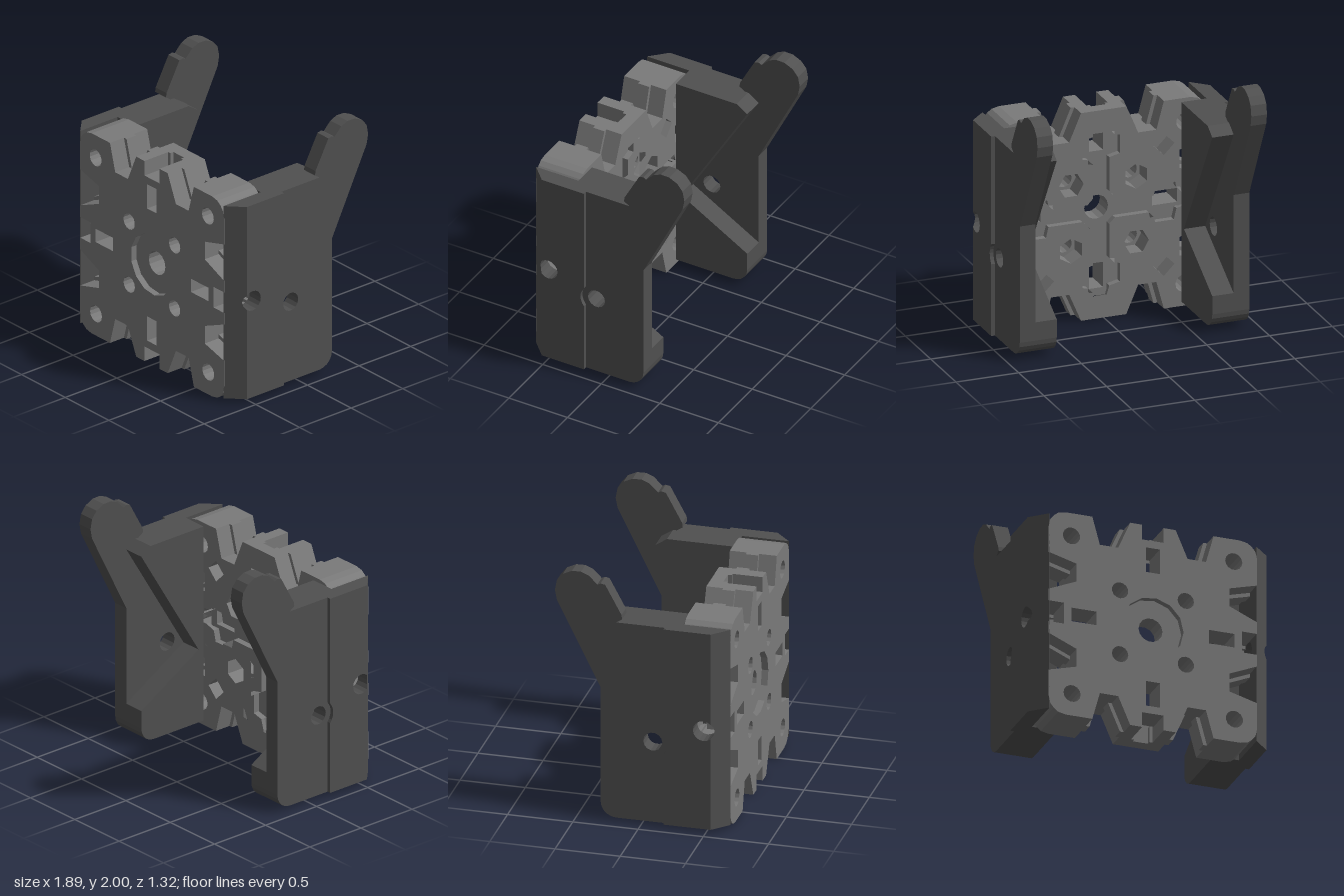
import * as THREE from 'three';

const plateGrey = new THREE.MeshStandardMaterial({ color: 0x7a7a7a });
plateGrey.name = 'plate grey';
const bracketGrey = new THREE.MeshStandardMaterial({ color: 0x505050 });
bracketGrey.name = 'bracket dark grey';

const MID = 0.825; // half size of the square plate and height of its centre
const poly = pts => pts.map(p => new THREE.Vector2(p[0], p[1]));
const ring = (x, y, r, n = 14, turn = 0) => Array.from({ length: n }, (_, i) => {
  const a = turn + i * 2 * Math.PI / n;
  return [x + r * Math.cos(a), y + r * Math.sin(a)];
});
const turned = (pts, k) => pts.map(([x, y]) => {
  for (let i = 0; i < k; i++) [x, y] = [y, -x];
  return [x, y];
});
const quarters = pts => [0, 1, 2, 3].map(k => turned(pts, k));

function extrude(outline, holes, depth) {
  const shape = new THREE.Shape(poly(outline));
  shape.holes = holes.map(h => new THREE.Path(poly(h)));
  return new THREE.ExtrudeGeometry(shape, { depth, bevelEnabled: false });
}

// One quarter of the plate edge, from the top tooth round to the right tooth
function quarterEdge(rib, u) {
  const g = rib ? 0.03 : 0;
  const half = [
    [0.18 + g, MID], [0.275 + g, 0.605], [0.42 - g, 0.605], [0.48 - g, MID],
    [0.69, MID], [0.75, 0.812], [0.785, 0.785],
  ];
  if (u) half.unshift([u, 0.705], [u, MID]);
  const back = half.slice(0, -1).reverse().map(([x, y]) => [y, x]);
  return [...half, ...back];
}

function buildPlate() {
  const group = new THREE.Group();
  group.name = 'mountingPlate';
  const add = (name, outline, holes, z0, z1) => {
    const geo = extrude(outline, holes, z1 - z0);
    geo.translate(0, MID, z0);
    const mesh = new THREE.Mesh(geo, plateGrey);
    mesh.name = name;
    group.add(mesh);
  };

  const cornerHole = ring(0.64, 0.645, 0.068);
  const screwHole = ring(0.26, 0.26, 0.065);
  const nutHole = ring(0.26, 0.26, 0.1, 6);
  const diamond = ring(0.48, 0.48, 0.085, 4);
  const slot = [[-0.055, 0.445], [0.055, 0.445], [0.055, 0.645], [-0.055, 0.645]];
  const frontHoles = [cornerHole, screwHole, slot].flatMap(quarters);

  // Front face layers with slots, screw holes and the round centre recess
  const edge = (rib, u) => quarters(quarterEdge(rib, u)).flat();
  add('frontFace', edge(false, 0.085), [...frontHoles, ring(0, 0, 0.243, 13)], 0.61, 0.66);
  add('frontLayer', edge(false, 0.085), [...frontHoles, ring(0, 0, 0.095)], 0.525, 0.61);
  add('ribLayer', edge(true, 0.085), [...frontHoles, ring(0, 0, 0.095)], 0.45, 0.525);

  // Hidden channels crossing the plate leave four corner blocks
  const inner = [[0.62, 0.085], [0.6, 0.17], [0.42, 0.17], [0.4, 0.085], [0.13, 0.085], [0.085, 0.13],
    [0.085, 0.4], [0.17, 0.42], [0.17, 0.6], [0.085, 0.62]];
  const steps = [['ribCorner', true, 0.085, 0.43, 0.45], ['channelCorner', false, 0.06, 0.4, 0.43]];
  for (const [name, rib, u, z0, z1] of steps)
    for (let k = 0; k < 4; k++)
      add(name, turned([...quarterEdge(rib, u), ...inner], k),
        [cornerHole, nutHole, diamond].map(h => turned(h, k)), z0, z1);

  // Back lattice with a cross-shaped pocket
  const cross = quarters([[0.085, 0.13], [0.13, 0.085], [0.4, 0.085], [0.42, 0.17], [0.6, 0.17], [0.62, 0.085],
    [0.645, 0.085], [0.645, -0.085], [0.62, -0.085], [0.6, -0.17], [0.42, -0.17], [0.4, -0.085]]).flat();
  add('backLattice', edge(false, 0),
    [cross, ...[cornerHole, nutHole, diamond].flatMap(quarters)], 0.3, 0.4);
  return group;
}

// Side bracket; profiles are [z, y] pairs extruded along x, s = 1 left, -1 right
function buildBracket(s) {
  const group = new THREE.Group();
  group.name = s > 0 ? 'leftBracket' : 'rightBracket';
  const LOW = 0.035, TOP = 1.62;
  const add = (name, profile, holes, x0, x1, rule) => {
    const flip = pts => pts.map(([z, y]) => [-z, y]);
    const geo = extrude(flip(profile), holes.map(flip), x1 - x0);
    geo.rotateY(Math.PI / 2);
    geo.translate(s > 0 ? x0 : -x1, 0, 0);
    if (rule) {
      const p = geo.attributes.position;
      for (let i = 0; i < p.count; i++) p.setX(i, s * rule(Math.abs(p.getX(i)), p.getZ(i)));
      geo.computeVertexNormals();
    }
    const mesh = new THREE.Mesh(geo, bracketGrey);
    mesh.name = name;
    group.add(mesh);
  };
  const arc = (cz, cy, r, a0, a1, n = 8) => Array.from({ length: n + 1 }, (_, i) => {
    const a = a0 + (a1 - a0) * i / n;
    return [cz + r * Math.cos(a), cy + r * Math.sin(a)];
  });
  const foot = arc(-0.19, LOW + 0.12, 0.12, -Math.PI / 2, -Math.PI, 5);

  // Outer panel with the raised arm and its small nub
  add('panelAndArm', [
    [0.3, LOW], ...foot, [-0.31, 1.08], [-0.645, 1.75], [-0.66, 1.83], [-0.645, 1.91], [-0.6, 1.965],
    [-0.53, 1.998], [-0.46, 2], [-0.4, 1.975], [-0.335, 1.91], [-0.31, 1.922], [-0.275, 1.915],
    [-0.15, 1.685], [-0.145, 1.65], [-0.19, TOP], [0.3, TOP],
  ], [ring(0.09, 0.685, 0.073)], 0.79, 0.915);

  // Thick inner block with a V-shaped opening at the rear
  add('innerBlock', [
    [0.3, LOW], ...foot, [-0.31, 0.3], [0.25, 0.63], [-0.31, 1.56], [-0.22, TOP], [0.3, TOP],
  ], [], 0.62, 0.79);

  // Raised cheek beside the plate, notched around both holes
  const hz = 0.485, hy = 0.83, hr = 0.08;
  const cut = Math.acos((0.54 - hz) / hr);
  const bite = Math.acos(0.09 / 0.12);
  add('cheek', [
    [0.18, LOW], [0.54, LOW], ...arc(hz, hy, hr, -cut, cut - 2 * Math.PI, 12), [0.54, TOP], [0.18, TOP],
    ...arc(0.09, 0.685, 0.12, bite, -bite, 6),
  ], [], 0.82, 0.945);

  // Chamfered front edge tapering to the plate
  add('cheekChamfer', [
    [0.54, LOW], [0.66, LOW], [0.66, TOP], [0.54, TOP], ...arc(hz, hy, hr, cut, -cut, 4),
  ], [], 0.82, 0.945, (x, z) => 0.82 + (x - 0.82) * Math.max(0.01, (0.66 - z) / 0.12));
  return group;
}

export function createModel() {
  const model = new THREE.Group();
  model.name = 'plateWithSideBrackets';
  model.add(buildPlate(), buildBracket(1), buildBracket(-1));
  return model;
}
